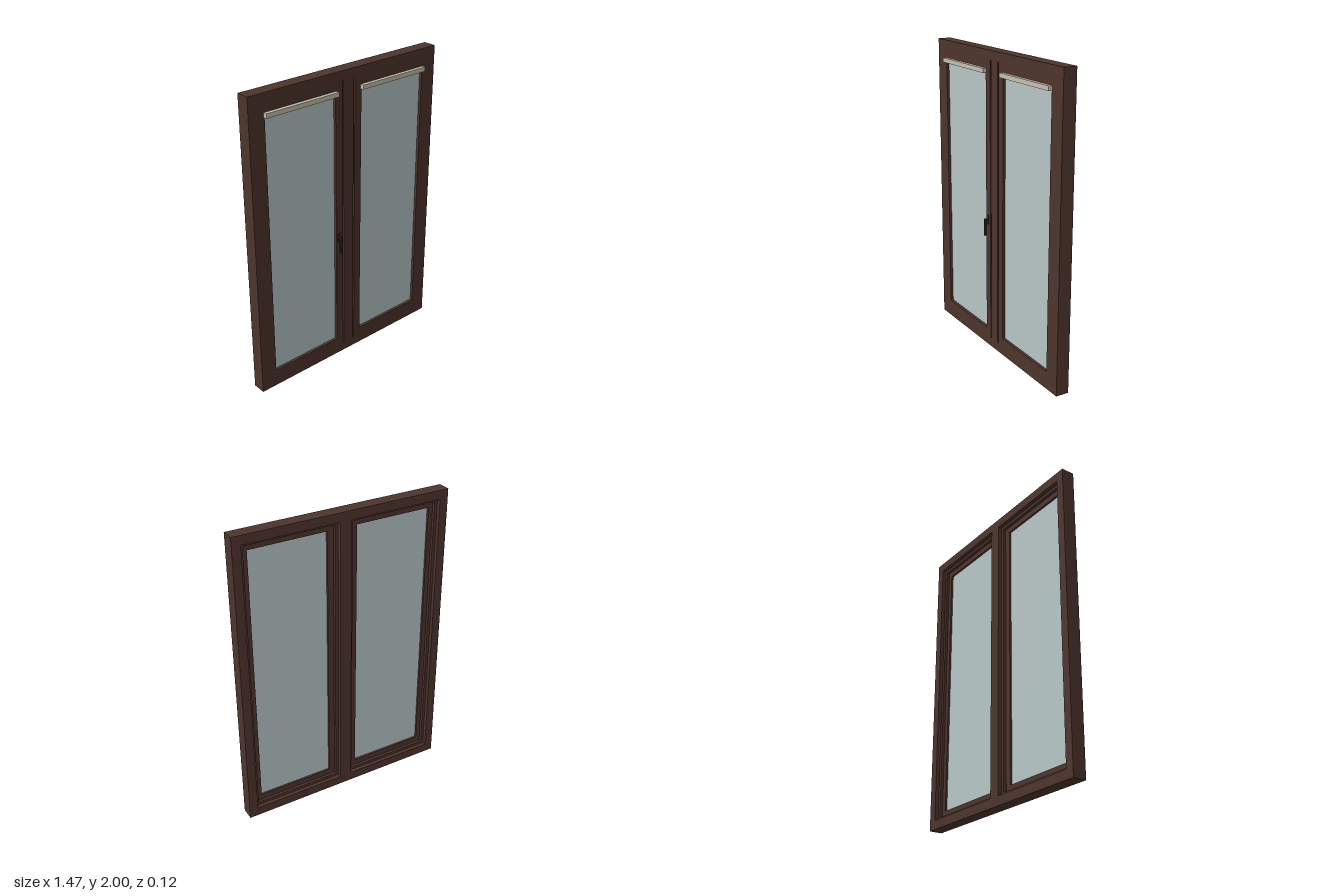
import * as THREE from 'three';

const wood = new THREE.MeshStandardMaterial({ color: 0x4e342d });
wood.name = 'darkWood';
const glassMat = new THREE.MeshStandardMaterial({ color: 0xb8c7c7 });
glassMat.name = 'paleGlass';
const blindMat = new THREE.MeshStandardMaterial({ color: 0xc6c2b0 });
blindMat.name = 'beigeBlind';
const handleMat = new THREE.MeshStandardMaterial({ color: 0x3a2620 });
handleMat.name = 'darkBronze';

// Box given by its limits on each axis
function box(name, mat, [x0, x1], [y0, y1], [z0, z1]) {
  const m = new THREE.Mesh(new THREE.BoxGeometry(x1 - x0, y1 - y0, z1 - z0), mat);
  m.position.set((x0 + x1) / 2, (y0 + y1) / 2, (z0 + z1) / 2);
  m.name = name;
  return m;
}

function rect(path, [x0, x1], [y0, y1]) {
  path.moveTo(x0, y0).lineTo(x1, y0).lineTo(x1, y1).lineTo(x0, y1).closePath();
  return path;
}

// Panel with rectangular holes, extruded from z0 to z1
function ring(name, outer, holes, [z0, z1]) {
  const shape = rect(new THREE.Shape(), ...outer);
  for (const h of holes) shape.holes.push(rect(new THREE.Path(), ...h));
  const geo = new THREE.ExtrudeGeometry(shape, { depth: z1 - z0, bevelEnabled: false });
  geo.translate(0, 0, z0);
  const m = new THREE.Mesh(geo, wood);
  m.name = name;
  return m;
}

export function createModel() {
  const root = new THREE.Group();
  root.name = 'doubleWindow';
  const span = (s, a, b) => (s > 0 ? [a, b] : [-b, -a]);

  // Outer frame with central mullion
  root.add(ring('frame', [[-0.733, 0.733], [0, 2]],
    [-1, 1].map((s) => [span(s, 0.04, 0.675), [0.06, 1.94]]), [-0.058, 0.03]));

  for (const s of [-1, 1]) {
    const sash = new THREE.Group();
    sash.name = s > 0 ? 'leftSash' : 'rightSash';
    // Sash, flush with the frame at the front, with a groove beside the mullion
    sash.add(ring('sashFrame', [span(s, 0.05, 0.675), [0.06, 1.94]],
      [[span(s, 0.103, 0.622), [0.118, 1.882]]], [-0.013, 0.03]));
    // Stepped stop behind the sash, which also closes the groove
    sash.add(ring('stop', [span(s, 0.04, 0.675), [0.06, 1.94]],
      [[span(s, 0.062, 0.655), [0.08, 1.92]]], [-0.032, -0.013]));
    sash.add(box('grooveFloor', wood, span(s, 0.04, 0.05), [0.06, 1.94], [-0.013, 0.012]));
    sash.add(box('glass', glassMat, span(s, 0.103, 0.622), [0.118, 1.882], [0, 0.012]));
    // Roller blind box
    sash.add(box('blindBox', blindMat, span(s, 0.096, 0.628), [1.856, 1.885], [0.03, 0.055]));
    root.add(sash);
  }

  // Lever handle on the right sash
  const handle = new THREE.Group();
  handle.name = 'handle';
  handle.add(box('plate', handleMat, [-0.092, -0.068], [0.87, 0.93], [0.03, 0.036]));
  const neck = new THREE.Mesh(new THREE.CylinderGeometry(0.007, 0.007, 0.018, 12), handleMat);
  neck.name = 'neck';
  neck.rotation.x = Math.PI / 2;
  neck.position.set(-0.08, 0.9, 0.043);
  handle.add(neck);
  handle.add(box('grip', handleMat, [-0.087, -0.073], [0.793, 0.908], [0.048, 0.058]));
  root.add(handle);

  return root;
}
